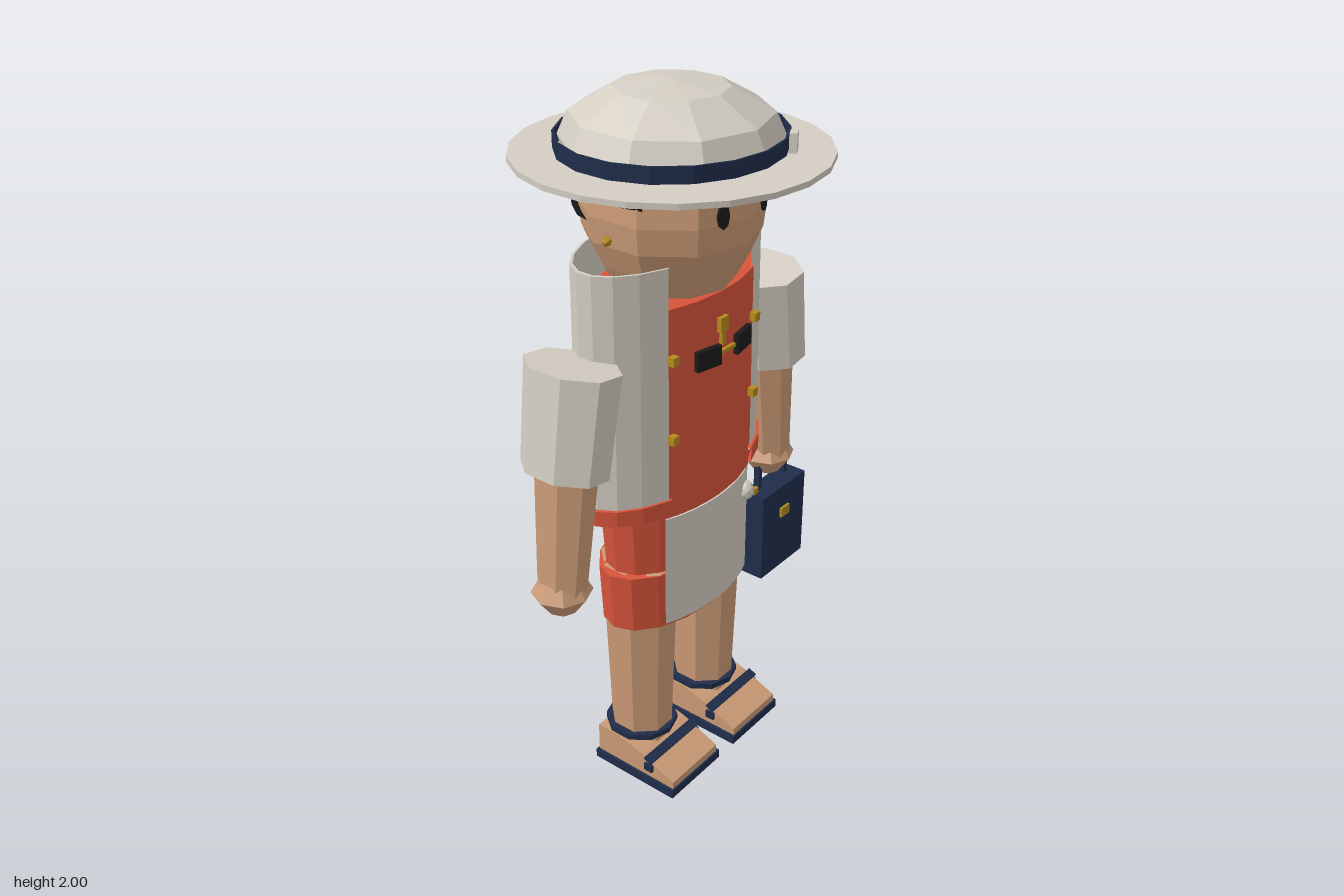
import * as THREE from 'three';

const mat = (name, color, side = THREE.FrontSide) =>
  new THREE.MeshStandardMaterial({ name, color, side, flatShading: true });

export function createModel() {
  const cream = mat('cream', 0xd3cdc2, THREE.DoubleSide);
  const orange = mat('orange', 0xd8543a, THREE.DoubleSide);
  const skin = mat('skin', 0xcb9b76);
  const navy = mat('navy', 0x1f2c4a, THREE.DoubleSide);
  const black = mat('black', 0x1b1b1b, THREE.DoubleSide);
  const gold = mat('gold', 0xb48a1e);

  const model = new THREE.Group();
  const figure = new THREE.Group();
  figure.name = 'figure';
  figure.position.x = -0.024;
  model.add(figure);

  const add = (name, geometry, material, x = 0, y = 0, z = 0, parent = figure) => {
    const mesh = new THREE.Mesh(geometry, material);
    mesh.name = name;
    mesh.position.set(x, y, z);
    parent.add(mesh);
    return mesh;
  };
  const box = (name, material, w, h, d, x, y, z, parent) =>
    add(name, new THREE.BoxGeometry(w, h, d), material, x, y, z, parent);
  const lathe = (points, segments, start = 0, length = Math.PI * 2) =>
    new THREE.LatheGeometry(points.map(p => new THREE.Vector2(...p)), segments, start, length);

  // Thin elliptical wall; angles run from the front (+z) towards the left (+x)
  const shell = (rx, rz, y0, y1, start, length, segments, flare = 1, t = 0.03) =>
    lathe([[flare, y0], [1, y1], [1 - t, y1], [flare - t, y0], [flare, y0]], segments, start, length)
      .scale(rx, 1, rz);
  // Solid elliptical column
  const column = (rx, rz, y0, y1, segments, flare = 1) =>
    lathe([[0, y0], [flare, y0], [1, y1], [0, y1]], segments).scale(rx, 1, rz);
  // Tapered limb between two points in the xy plane
  const limb = (name, material, x0, y0, x1, y1, top, bottom, depth, segments) => {
    const length = Math.hypot(x1 - x0, y1 - y0);
    const geo = new THREE.CylinderGeometry(top, bottom, length, segments).rotateY(Math.PI / segments).scale(1, 1, depth);
    const mesh = add(name, geo, material, (x0 + x1) / 2, (y0 + y1) / 2, 0);
    mesh.rotation.z = Math.atan2(x1 - x0, y0 - y1);
    return mesh;
  };

  // Hat
  add('hatCrown', lathe([[0, 1.75], [0.21, 1.755], [0.268, 1.81], [0.282, 1.86], [0.255, 1.92], [0.145, 1.982], [0, 2]], 10), cream);
  add('hatBrim', new THREE.CylinderGeometry(0.405, 0.405, 0.015, 22), cream, 0, 1.823);
  add('hatBand', shell(0.3, 0.287, 1.835, 1.877, 0, Math.PI * 2, 18, 1, 0.02), navy);
  box('hatBuckle', cream, 0.034, 0.07, 0.02, 0.153, 1.845, 0.255).rotation.y = 0.5;

  // Head, hair and face
  add('head', lathe([[0, 1.49], [0.165, 1.495], [0.2, 1.56], [0.23, 1.63], [0.238, 1.7], [0.23, 1.79], [0, 1.79]], 10), skin);
  add('backHair', lathe([[0.215, 1.665], [0.25, 1.69], [0.262, 1.79]], 7, Math.PI * 0.66, Math.PI * 0.68), black);
  add('sideHair', lathe([[0.235, 1.745], [0.246, 1.79]], 10, Math.PI * 0.38, Math.PI * 1.24), black);
  for (const s of [-1, 1]) {
    const eye = add('eye', new THREE.CylinderGeometry(0.017, 0.017, 0.008, 8).rotateX(Math.PI / 2).scale(1, 1.9, 1), black, s * 0.083, 1.725, 0.222);
    eye.rotation.y = s * 0.32;
    add('earring', new THREE.IcosahedronGeometry(0.014, 0), gold, s * 0.25, 1.66, 0);
  }

  // Dress bodice, jacket and hem
  add('bodice', column(0.3, 0.16, 0.89, 1.49, 20), orange);
  add('jacket', shell(0.332, 0.163, 0.94, 1.6, 0.56, Math.PI * 2 - 1.12, 18, 1.015), cream, 0, 0, -0.008);
  add('jacketHem', shell(0.348, 0.172, 0.905, 0.95, 0.54, Math.PI * 2 - 1.08, 18, 1, 0.1), orange, 0, 0, -0.008);

  // Skirt in two tiers, with a curved apron
  add('upperSkirt', column(0.262, 0.148, 0.69, 0.91, 16, 0.93), orange);
  add('lowerSkirt', column(0.272, 0.148, 0.522, 0.7, 16, 0.96), orange);
  add('apron', shell(0.29, 0.16, 0.545, 0.885, -0.69, 1.38, 8), cream);
  add('apronBrooch', new THREE.IcosahedronGeometry(0.03, 1), cream, 0.162, 0.815, 0.13);
  box('broochPin', gold, 0.02, 0.018, 0.012, 0.178, 0.815, 0.156);

  // Jacket buttons, pendant and hanging sunglasses
  for (const s of [-1, 1]) {
    for (const y of [1.13, 1.355]) box('button', gold, 0.022, 0.024, 0.02, s * 0.172, y, 0.142);
    box('sunglassLens', black, 0.08, 0.055, 0.014, s * 0.073, 1.335, 0.175).rotation.y = s * 0.2;
  }
  box('sunglassBridge', gold, 0.07, 0.01, 0.01, 0, 1.335, 0.178);
  box('pendant', gold, 0.032, 0.04, 0.014, 0, 1.402, 0.165);
  box('pendantDrop', gold, 0.016, 0.04, 0.01, 0, 1.365, 0.165);

  // Arms, legs and sandals
  for (const s of [-1, 1]) {
    limb('sleeve', cream, s * 0.386, 1.385, s * 0.43, 1.11, 0.108, 0.1, 1.25, 8);
    limb('forearm', skin, s * 0.423, 1.13, s * 0.459, 0.77, 0.076, 0.06, 1.2, 8);
    add('hand', lathe([[0, 0.69], [0.042, 0.705], [0.082, 0.76], [0.06, 0.8], [0, 0.8]], 8), skin, s * 0.46);

    const x = s * 0.147;
    limb('leg', skin, x, 0.7, x, 0.06, 0.106, 0.085, 1.07, 8);
    add('ankleStrap', new THREE.CylinderGeometry(0.105, 0.105, 0.018, 10), navy, x, 0.128, 0);
    box('sole', navy, 0.224, 0.027, 0.29, x, 0.0135, 0.06);

    // Wedge-shaped foot, drawn from the side and extruded across
    const side = new THREE.Shape([[-0.08, 0.027], [0.2, 0.027], [0.2, 0.05], [0.08, 0.098], [0, 0.118], [-0.08, 0.118]]
      .map(p => new THREE.Vector2(...p)));
    const foot = new THREE.ExtrudeGeometry(side, { depth: 0.206, bevelEnabled: false })
      .translate(0, 0, -0.103).rotateY(-Math.PI / 2);
    add('foot', foot, skin, x);
    box('toeStrap', navy, 0.222, 0.024, 0.028, x, 0.063, 0.113);
    const strapTop = box('toeStrapTop', navy, 0.222, 0.008, 0.028, x, 0.09, 0.113);
    strapTop.rotation.x = 0.38;
  }

  // Handbag hanging from the left hand
  const bag = new THREE.Group();
  bag.name = 'handbag';
  bag.position.set(0.45, 0, 0.022);
  model.add(bag);
  box('bagBody', navy, 0.22, 0.29, 0.078, 0, 0.51, 0, bag);
  for (const s of [-1, 1]) box('bagHandlePost', navy, 0.014, 0.11, 0.02, s * 0.067, 0.705, -0.015, bag);
  box('bagHandleTop', navy, 0.148, 0.014, 0.02, 0, 0.753, -0.015, bag);
  box('bagClasp', gold, 0.042, 0.032, 0.01, 0, 0.565, 0.042, bag);

  return model;
}
